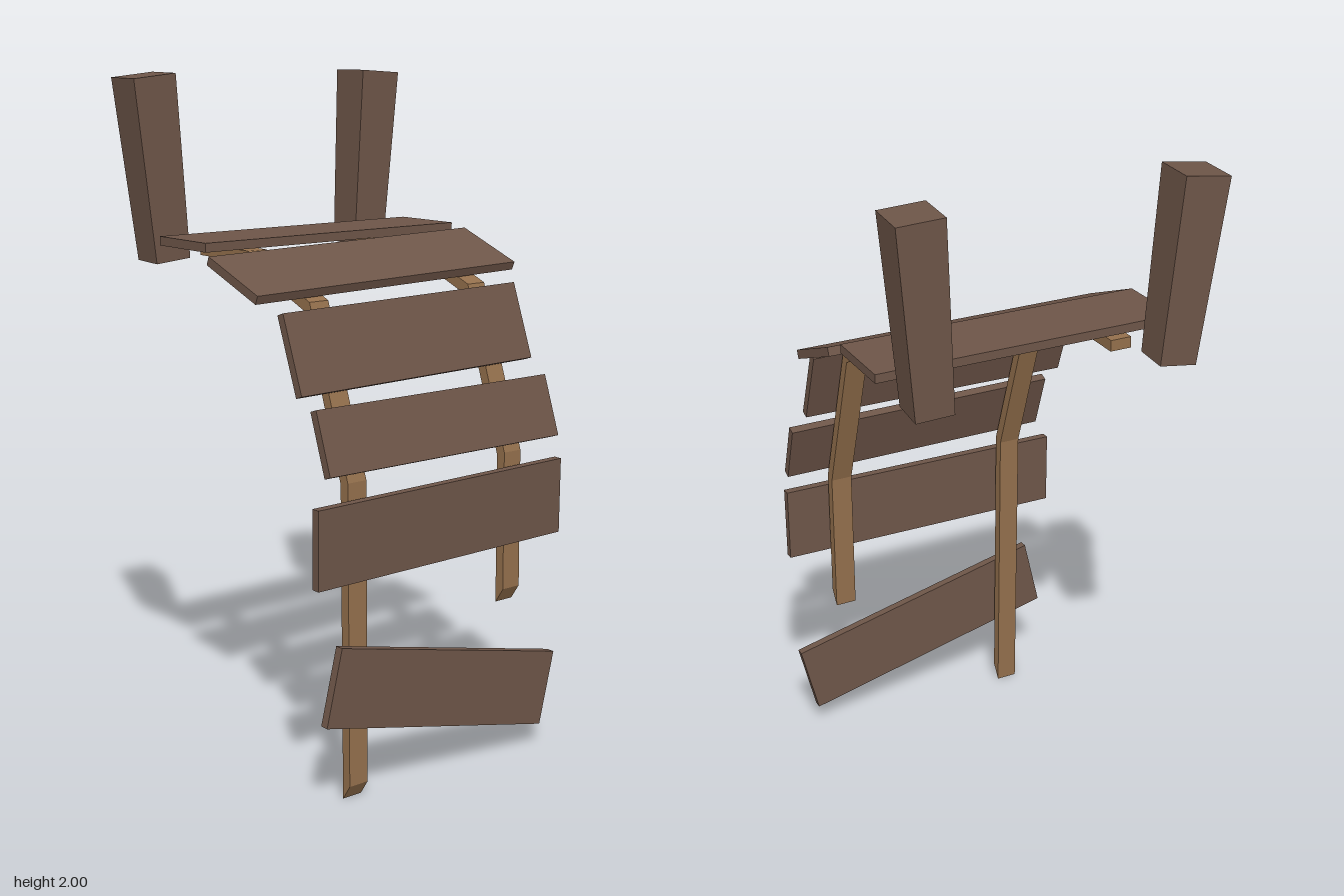
import * as THREE from 'three';

const rad = THREE.MathUtils.degToRad;

export function createModel() {
  const model = new THREE.Group();
  model.name = 'brokenBridge';

  const darkWood = new THREE.MeshStandardMaterial({ color: 0x6d5548 });
  darkWood.name = 'darkWood';
  const rope = new THREE.MeshStandardMaterial({ color: 0x936f4c });
  rope.name = 'rope';

  function add(name, geometry, material, position, rotation, order = 'XYZ') {
    const mesh = new THREE.Mesh(geometry, material);
    mesh.name = name;
    mesh.position.set(...position);
    mesh.rotation.set(...rotation.map(rad), order);
    model.add(mesh);
  }

  // Planks: length, width, centre, lean back from upright, roll in their own plane
  const planks = [
    [0.92, 0.23, [0.005, 1.527, -0.155], 90, 0],
    [0.98, 0.23, [0.005, 1.463, 0.109], 68, 2.1],
    [0.858, 0.229, [0.006, 1.272, 0.298], 19.5, 0.8],
    [0.86, 0.185, [0.045, 1.032, 0.384], 19.5, -0.2],
    [0.912, 0.226, [0.022, 0.762, 0.424], -0.8, 0.5],
    [0.842, 0.226, [0.022, 0.27, 0.434], -0.5, -13.1],
  ];
  planks.forEach(([length, width, centre, lean, roll], i) => {
    const box = new THREE.BoxGeometry(length, width, 0.026);
    add(`plank${i + 1}`, box, darkWood, centre, [-lean, 0, roll]);
  });

  // Flat ropes: bent side outline (z, y) with a slanted torn end, extruded across x
  const ropeWidth = 0.065;
  function addRope(name, x, endY, endZ) {
    const outline = [
      [-0.285, 1.507], [-0.047, 1.507], [0.236, 1.393], [0.402, 0.918], [endZ, endY + 0.045],
      [endZ - 0.03, endY], [0.371, 0.91], [0.214, 1.366], [-0.053, 1.474], [-0.285, 1.474],
    ];
    const shape = new THREE.Shape(outline.map(([z, y]) => new THREE.Vector2(z, y)));
    const strip = new THREE.ExtrudeGeometry(shape, { depth: ropeWidth, bevelEnabled: false });
    strip.translate(0, 0, -ropeWidth / 2);
    add(name, strip, rope, [x, 0, 0], [0, -90, 0]);
  }
  addRope('rightRope', -0.273, 0, 0.412);
  addRope('leftRope', 0.312, 0.46, 0.407);

  // Square posts, thicker at the top and leaning outwards
  function addPost(name, height, centre, yaw, tilt) {
    const tapered = new THREE.CylinderGeometry(0.067 * Math.SQRT2, 0.055 * Math.SQRT2, height, 4);
    const post = tapered.rotateY(Math.PI / 4).scale(1, 1, 1.07).toNonIndexed();
    post.computeVertexNormals();
    add(name, post, darkWood, centre, [0, yaw, tilt], 'ZYX');
  }
  addPost('rightPost', 0.535, [-0.406, 1.726, -0.369], -5.5, 6.3);
  addPost('leftPost', 0.54, [0.381, 1.726, -0.37], -4.5, -3.8);

  return model;
}
